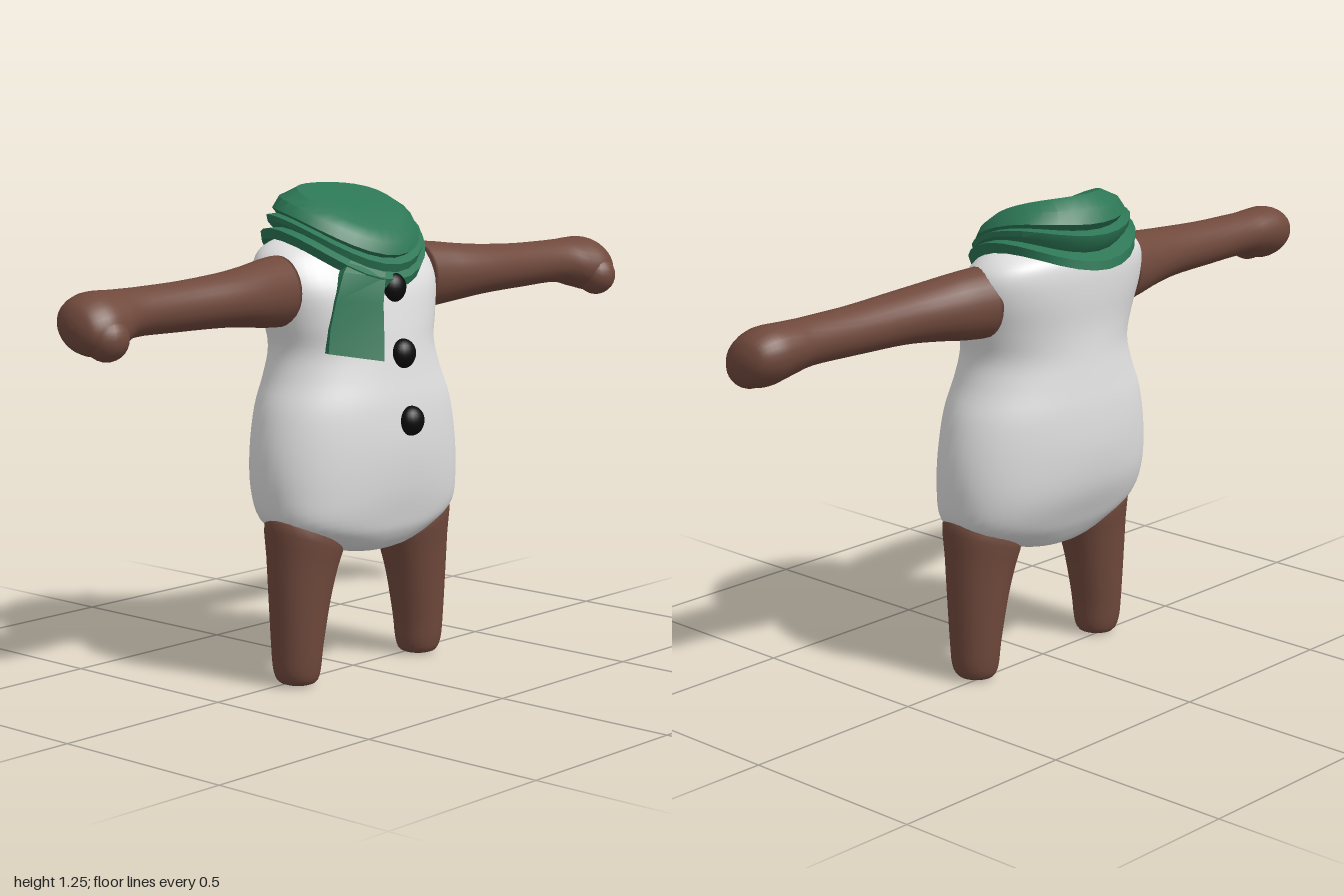
import * as THREE from 'three';
import { toCreasedNormals } from 'three/addons/utils/BufferGeometryUtils.js';

const material = (name, color) => {
  const m = new THREE.MeshStandardMaterial({ color });
  m.name = name;
  return m;
};

// Skin over closed rings of points, capped at both ends
function loft(rings, startCap, endCap) {
  const n = rings[0].length;
  const pos = rings.flat(2);
  const index = [];
  const rows = rings.length;
  const mean = ring => [0, 1, 2].map(k => ring.reduce((sum, p) => sum + p[k], 0) / n);
  pos.push(...(startCap || mean(rings[0])), ...(endCap || mean(rings[rows - 1])));
  const start = rows * n, end = start + 1, last = (rows - 1) * n;
  for (let j = 0; j < n; j++) {
    const k = (j + 1) % n;
    for (let i = 0; i < rows - 1; i++) {
      const a = i * n + j, b = i * n + k;
      index.push(a, a + n, b, b, a + n, b + n);
    }
    index.push(start, j, k, end, last + k, last + j);
  }
  const geo = new THREE.BufferGeometry();
  geo.setAttribute('position', new THREE.Float32BufferAttribute(pos, 3));
  geo.setIndex(index);
  geo.computeVertexNormals();
  return geo;
}

// Catmull-Rom interpolation between rows of section values
function smooth(rows, steps) {
  const out = [];
  const at = i => rows[Math.min(Math.max(i, 0), rows.length - 1)];
  for (let i = 0; i < rows.length - 1; i++) {
    for (let s = 0; s < steps; s++) {
      const t = s / steps;
      out.push(at(i).map((p1, k) => {
        const p0 = at(i - 1)[k], p2 = at(i + 1)[k], p3 = at(i + 2)[k];
        return 0.5 * (2 * p1 + (p2 - p0) * t + (2 * p0 - 5 * p1 + 4 * p2 - p3) * t * t
          + (3 * p1 - p0 - 3 * p2 + p3) * t * t * t);
      }));
    }
  }
  out.push(rows[rows.length - 1]);
  return out;
}

const ring = (n, fn) => Array.from({ length: n }, (_, i) => {
  const a = (i / n) * Math.PI * 2;
  return fn(Math.cos(a), Math.sin(a));
});

function mirrored(geo) {
  const g = geo.clone().scale(-1, 1, 1);
  const idx = g.index.array;
  for (let i = 0; i < idx.length; i += 3) [idx[i], idx[i + 1]] = [idx[i + 1], idx[i]];
  g.computeVertexNormals();
  return g;
}

export function createModel() {
  const group = new THREE.Group();
  const white = material('white body', 0xe0e0e0);
  const brown = material('brown limbs', 0x70493c);
  const green = material('green scarf', 0x2c7655);
  const black = material('black buttons', 0x0b0b0b);
  const add = (name, geo, mat) => {
    const mesh = new THREE.Mesh(geo, mat);
    mesh.name = name;
    group.add(mesh);
    return mesh;
  };
  const addPair = (name, geo, mat) => {
    add('left' + name, geo, mat);
    add('right' + name, mirrored(geo), mat);
  };

  // Body sections: y, half width, front z, back z, roundness power
  const bodyRows = [
    [0.315, 0.03, 0.06, -0.02, 1], [0.335, 0.13, 0.125, -0.085, 0.85],
    [0.375, 0.23, 0.16, -0.12, 0.8], [0.42, 0.303, 0.175, -0.145, 0.82],
    [0.5, 0.325, 0.192, -0.18, 0.92], [0.6, 0.326, 0.2, -0.196, 1],
    [0.7, 0.305, 0.194, -0.195, 1], [0.78, 0.27, 0.18, -0.186, 1],
    [0.85, 0.252, 0.168, -0.178, 1], [0.92, 0.266, 0.155, -0.175, 0.95],
    [1.0, 0.285, 0.135, -0.18, 0.9], [1.06, 0.282, 0.1, -0.18, 0.9],
    [1.1, 0.25, 0.07, -0.17, 0.9], [1.125, 0.19, 0.04, -0.14, 1], [1.14, 0.06, 0, -0.08, 1],
  ];
  const soft = (v, p) => Math.sign(v) * Math.abs(v) ** p;
  add('body', loft(smooth(bodyRows, 4).map(([y, w, f, b, p]) =>
    ring(48, (c, s) => [w * soft(c, p), y, (f + b) / 2 + (f - b) / 2 * soft(s, p)]))), white);

  // Leg sections: centre x, radius x, y, radius z, slant of the section
  const legRows = [
    [0.232, 0.015, 0, 0.015, 0], [0.233, 0.045, 0.006, 0.047, 0], [0.235, 0.06, 0.035, 0.06, 0],
    [0.234, 0.066, 0.1, 0.067, 0], [0.225, 0.081, 0.22, 0.077, 0.08],
    [0.215, 0.095, 0.31, 0.086, 0.25], [0.207, 0.106, 0.382, 0.095, 0.42],
    [0.2, 0.08, 0.41, 0.075, 0.4],
  ];
  addPair('Leg', loft(smooth(legRows, 3).map(([cx, rx, y, rz, k]) =>
    ring(28, (c, s) => [cx + rx * c, y + k * rx * c, 0.02 + rz * s]))), brown);

  // Arm sections: x, centre y, radius y, centre z, radius z, twist
  const armRows = [
    [0.255, 1.0, 0.09, -0.022, 0.083, 0], [0.32, 1.0, 0.085, -0.012, 0.08, 0],
    [0.4, 1.0, 0.075, 0.002, 0.077, 0], [0.5, 1.0, 0.066, 0.012, 0.071, 0],
    [0.65, 0.998, 0.06, 0.014, 0.063, 0], [0.8, 0.998, 0.058, 0.016, 0.064, 0.2],
    [0.87, 0.99, 0.065, 0.024, 0.08, 0.4], [0.93, 0.983, 0.07, 0.03, 0.088, 0.45],
    [0.975, 0.98, 0.055, 0.03, 0.07, 0.45], [0.994, 0.978, 0.03, 0.03, 0.04, 0.4],
    [1.0, 0.978, 0.005, 0.03, 0.006, 0.4],
  ];
  addPair('Arm', loft(smooth(armRows, 4).map(([x, cy, ry, cz, rz, t]) =>
    ring(28, (c, s) => {
      const y = ry * c, z = -rz * s;
      return [x, cy + y * Math.cos(t) - z * Math.sin(t), cz + z * Math.cos(t) + y * Math.sin(t)];
    }))), brown);

  // Thumb bulge on the lower front of each hand
  const thumb = new THREE.SphereGeometry(0.054, 20, 14).translate(0.925, 0.954, 0.074);
  addPair('Thumb', thumb, brown);

  // Wrapped scarf: half width, front z, front y, back z, back y, rise at the sides
  const scarfRows = [
    [0.17, 0.09, 1.03, -0.15, 1.09, 0.06], [0.222, 0.148, 1.0, -0.225, 1.073, 0.085],
    [0.235, 0.155, 1.022, -0.22, 1.095, 0.09], [0.2, 0.135, 1.045, -0.187, 1.113, 0.07],
    [0.213, 0.15, 1.04, -0.208, 1.137, 0.07], [0.215, 0.157, 1.06, -0.214, 1.16, 0.062],
    [0.19, 0.14, 1.075, -0.19, 1.17, 0.05], [0.197, 0.155, 1.083, -0.205, 1.188, 0.045],
    [0.18, 0.145, 1.115, -0.188, 1.222, 0.035], [0.142, 0.118, 1.145, -0.14, 1.25, 0.02],
  ];
  const scarf = loft(scarfRows.map(([w, f, yf, b, yb, rise]) =>
    ring(28, (c, s) => [w * c, (yf + yb) / 2 + (yf - yb) / 2 * s + rise * c * c,
      (f + b) / 2 + (f - b) / 2 * s])), [0, 1.1, -0.04], [0, 1.197, -0.01]);
  add('scarfWrap', toCreasedNormals(scarf, 0.6), green);

  // Hanging scarf end: left x, y, z then right x, y, z of each section
  const tailRows = [
    [-0.215, 0.85, 0.112, -0.085, 0.825, 0.182], [-0.208, 0.91, 0.112, -0.075, 0.895, 0.172],
    [-0.193, 0.98, 0.118, -0.062, 0.965, 0.158], [-0.165, 1.05, 0.118, -0.045, 1.03, 0.15],
    [-0.11, 1.09, 0.1, -0.02, 1.07, 0.125],
  ];
  const tail = loft(tailRows.map(([ax, ay, az, bx, by, bz]) => [
    [bx, by, bz], [ax, ay, az], [ax + 0.01, ay, az - 0.024], [bx + 0.005, by, bz - 0.024],
  ]));
  add('scarfEnd', toCreasedNormals(tail, 0.5), green);

  // Buttons down the front
  for (const [y, z] of [[0.667, 0.197], [0.835, 0.168], [1.0, 0.135]]) {
    const button = add('button', new THREE.SphereGeometry(0.038, 20, 14), black);
    button.scale.z = 0.8;
    button.position.set(0, y, z);
  }
  return group;
}
